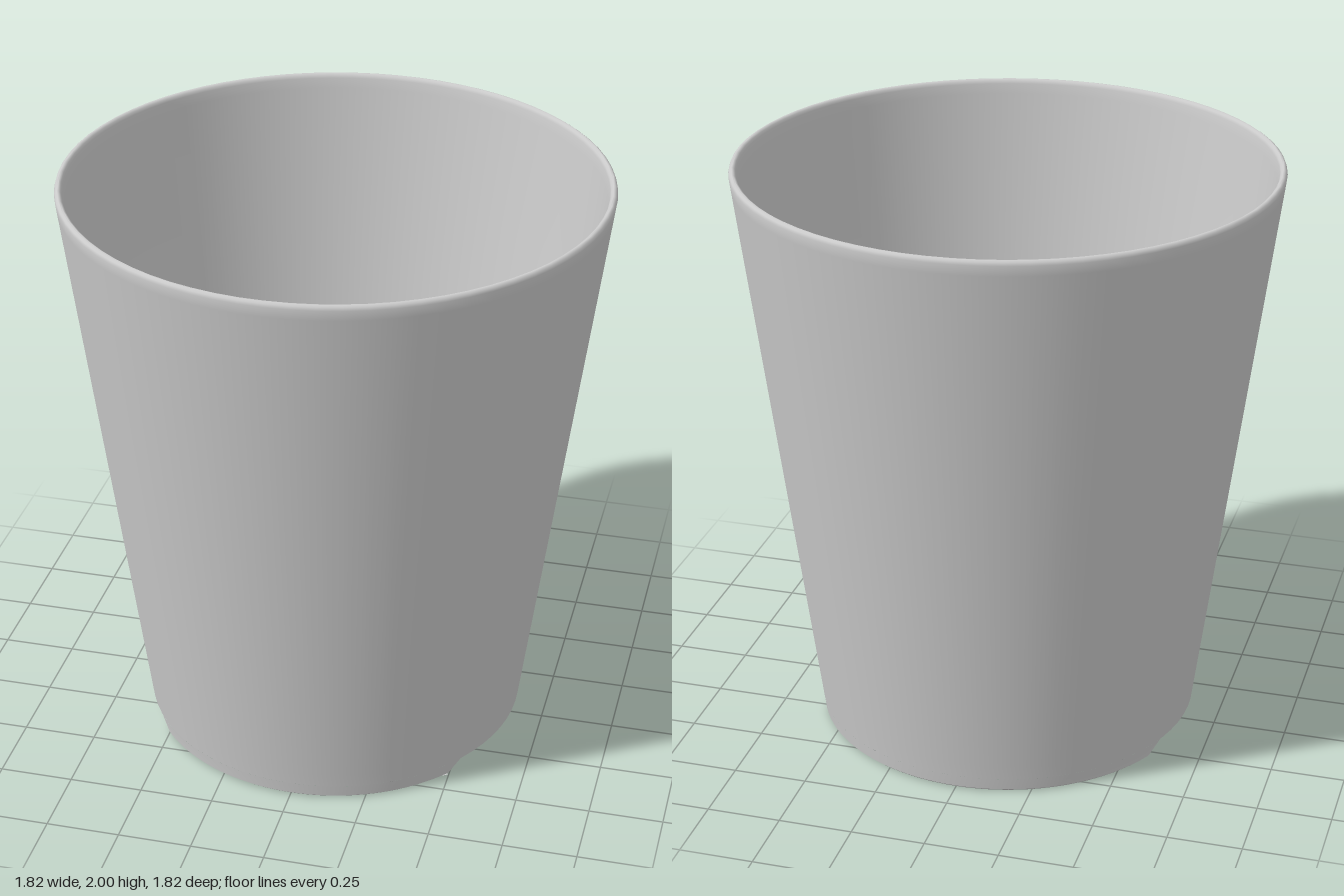
import * as THREE from 'three';
import { toCreasedNormals } from 'three/addons/utils/BufferGeometryUtils.js';

const material = new THREE.MeshStandardMaterial({ color: 0xcccccc });
const FLOOR = 0.05; // height of the channel under the cup
const CENTRE = 0.75; // z of the centre of the curved channel
const wall = (y) => 0.648 + 0.131 * y; // outer radius at a height

// Tapered cup with a thin wall, rounded lip and filleted floor
function makeCup() {
  const profile = [
    [0, FLOOR], [wall(FLOOR), FLOOR], [wall(0.1), 0.1], [wall(1.95), 1.95], [wall(1.985), 1.985],
    [0.905, 1.995], [0.898, 2], [0.893, 2], [0.886, 1.995], [0.883, 1.985],
    [0.878, 1.95], [0.652, 0.18], [0.645, 0.145], [0.632, 0.118], [0.61, 0.104],
    [0.58, 0.1], [0, 0.1],
  ].map(([r, y]) => new THREE.Vector2(r, y));
  const cup = new THREE.Mesh(toCreasedNormals(new THREE.LatheGeometry(profile, 72), 0.8), material);
  cup.name = 'cup';
  return cup;
}

// Foot between the cup's rim and an arc of the channel; side is +1 front, -1 back
function makeFoot(name, side, topArc, bottomArc) {
  const n = 40;
  // Each row: rim radius, arc radius, height, and whether it follows the arc
  const rows = [
    [wall(FLOOR), topArc, FLOOR, true],
    [wall(0), bottomArc, 0, true],
    [wall(0) - 0.008, bottomArc, 0, false],
    [wall(0.008), bottomArc - side * 0.0, 0.008, false],
    [wall(FLOOR), topArc, FLOOR, false],
  ].map(([R, q, y, onArc]) => {
    const zMeet = (R * R - q * q + CENTRE * CENTRE) / (2 * CENTRE);
    const rimSpan = Math.acos((side * zMeet) / R);
    const arcSpan = Math.asin((R * Math.sin(rimSpan)) / q);
    return Array.from({ length: n + 1 }, (_, i) => {
      const t = (2 * i) / n - 1;
      const a = t * (onArc ? arcSpan : rimSpan);
      return onArc
        ? [q * Math.sin(a), y, CENTRE - q * Math.cos(a)]
        : [R * Math.sin(a), y, side * R * Math.cos(a)];
    });
  });
  const index = [];
  for (let j = 0; j < rows.length - 1; j++) {
    for (let i = 0; i < n; i++) {
      const a = j * (n + 1) + i, b = a + 1, c = a + n + 1, d = c + 1;
      index.push(...(side > 0 ? [a, b, c, b, d, c] : [a, c, b, b, c, d]));
    }
  }
  const geometry = new THREE.BufferGeometry();
  geometry.setAttribute('position', new THREE.Float32BufferAttribute(rows.flat(2), 3));
  geometry.setIndex(index);
  const foot = new THREE.Mesh(toCreasedNormals(geometry, 0.6), material);
  foot.name = name;
  return foot;
}

export function createModel() {
  const model = new THREE.Group();
  model.name = 'tumbler';
  model.add(
    makeCup(),
    makeFoot('frontFoot', 1, 0.65, 0.6),
    makeFoot('backFoot', -1, 1.16, 1.19),
  );
  return model;
}
